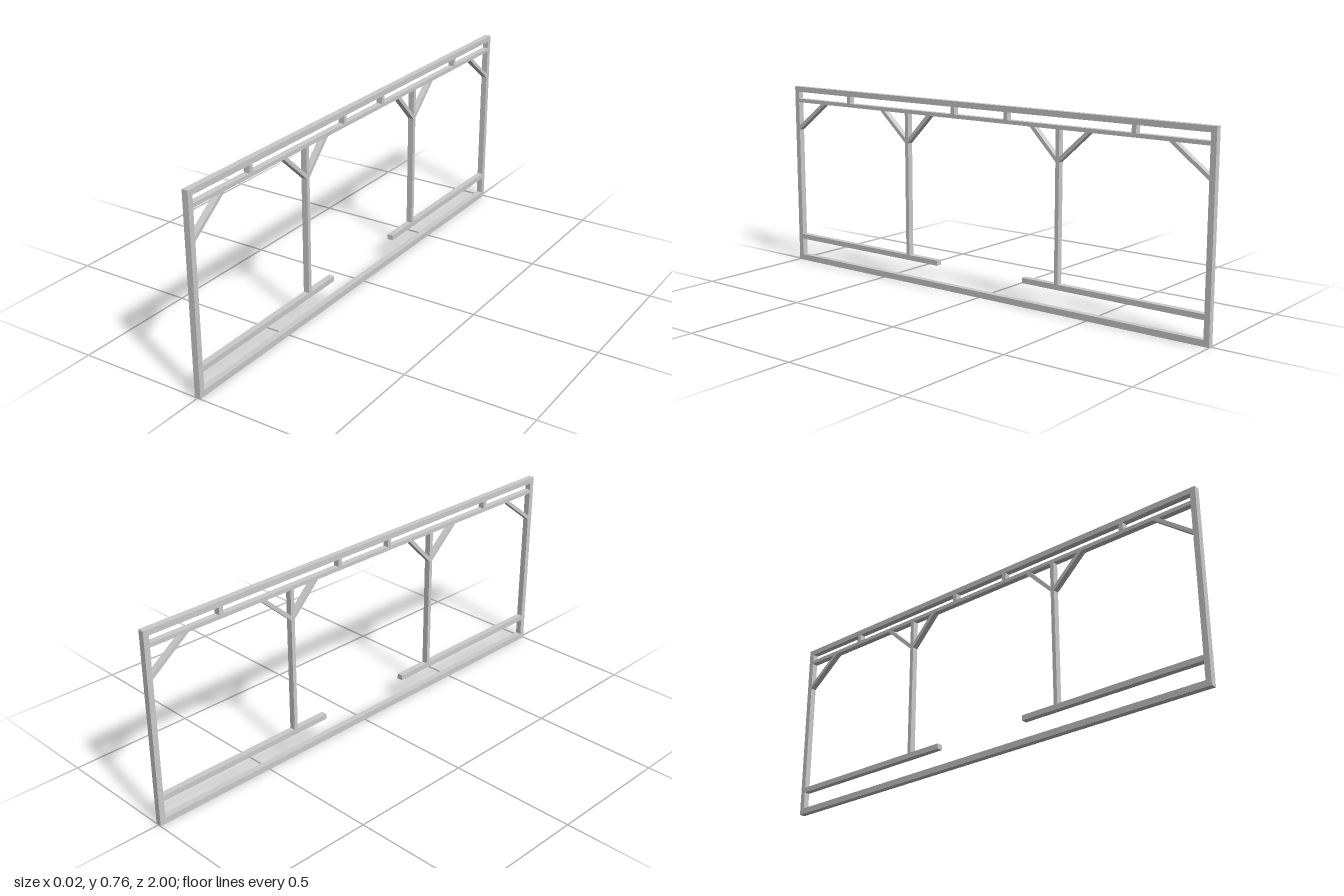
import * as THREE from 'three';

const DEPTH = 0.024;

export function createModel() {
  const model = new THREE.Group();
  model.name = 'timberFrame';
  const material = new THREE.MeshStandardMaterial({ color: 0xcccccc, flatShading: true });

  // Straight beam given by its z and y extents
  function beam(parent, name, z0, z1, y0, y1) {
    const mesh = new THREE.Mesh(new THREE.BoxGeometry(DEPTH, y1 - y0, z1 - z0), material);
    mesh.position.set(0, (y0 + y1) / 2, (z0 + z1) / 2);
    mesh.name = name;
    parent.add(mesh);
  }

  // Diagonal brace with mitred ends, outlined by [z, y] corners
  function brace(parent, name, corners) {
    const shape = new THREE.Shape(corners.map(([z, y]) => new THREE.Vector2(z, y)));
    const geometry = new THREE.ExtrudeGeometry(shape, { depth: DEPTH, bevelEnabled: false });
    geometry.translate(0, 0, -DEPTH / 2).rotateY(-Math.PI / 2);
    const mesh = new THREE.Mesh(geometry, material);
    mesh.name = name;
    parent.add(mesh);
  }

  // Full-length rails
  beam(model, 'groundSill', -1, 1, 0, 0.024);
  beam(model, 'topPlate', -1, 1, 0.734, 0.756);
  beam(model, 'upperRail', -0.978, 0.978, 0.69, 0.705);

  // Two identical halves, the second turned to the back
  ['frontHalf', 'backHalf'].forEach((name, i) => {
    const half = new THREE.Group();
    half.name = name;
    half.rotation.y = i * Math.PI;

    beam(half, 'endPost', 0.978, 1, 0.024, 0.734);
    beam(half, 'handRail', 0.21, 0.978, 0.094, 0.115);
    beam(half, 'middlePost', 0.357, 0.373, 0.115, 0.69);
    for (const z of [0.1285, 0.684]) beam(half, 'spacerBlock', z - 0.009, z + 0.009, 0.705, 0.734);

    brace(half, 'cornerBrace', [[0.978, 0.572], [0.978, 0.59], [0.845, 0.69], [0.822, 0.69]]);
    brace(half, 'outerBrace', [[0.373, 0.571], [0.505, 0.69], [0.483, 0.69], [0.373, 0.591]]);
    brace(half, 'innerBrace', [[0.357, 0.571], [0.357, 0.591], [0.262, 0.69], [0.24, 0.69]]);
    model.add(half);
  });

  return model;
}
